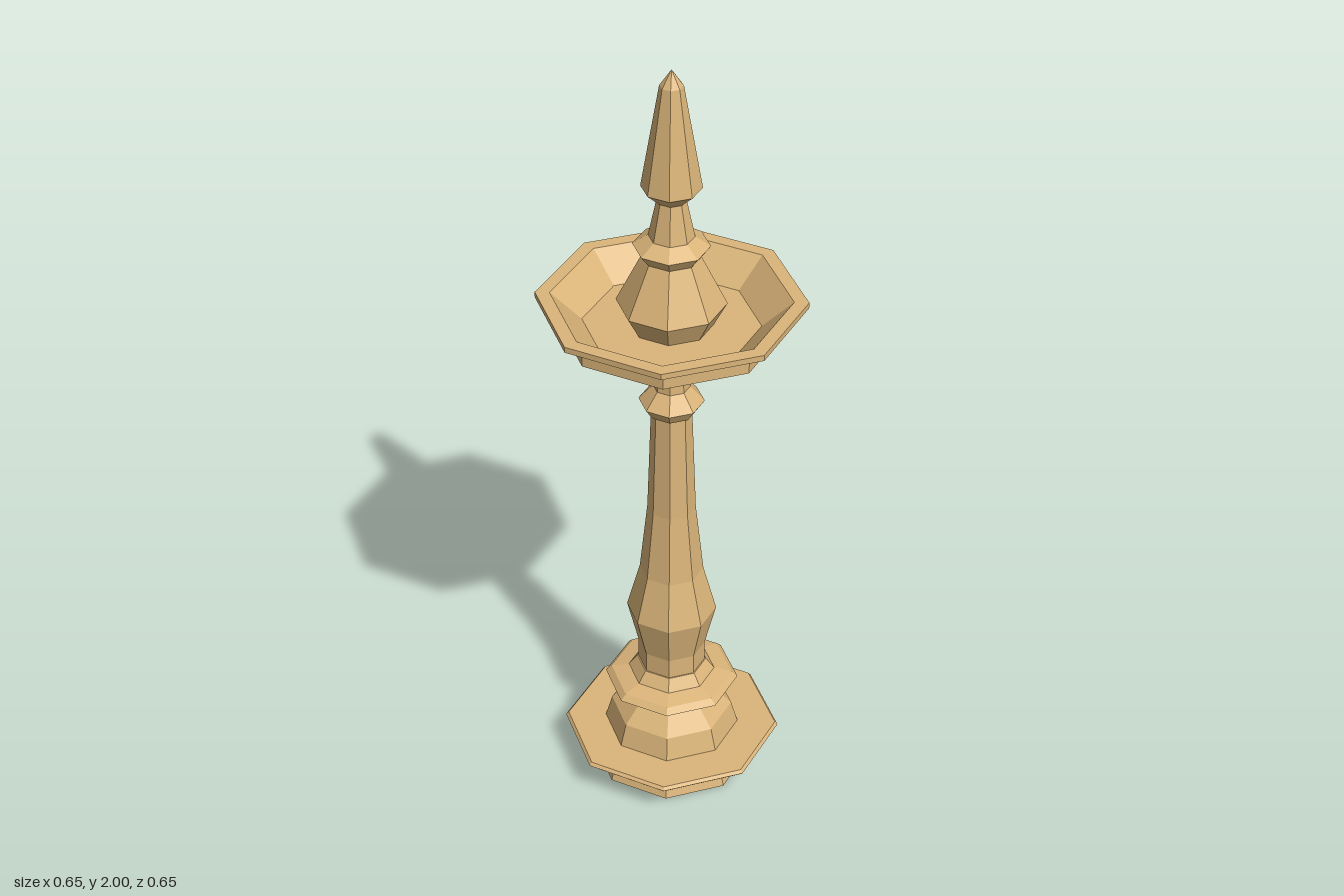
import * as THREE from 'three';

const SIDES = 8;

export function createModel() {
  const group = new THREE.Group();
  const brass = new THREE.MeshStandardMaterial({ color: 0xdbb57a, flatShading: true });

  // Turns a [radius, height] profile, listed from the bottom up, into a faceted part
  function turned(name, profile) {
    const points = profile.map(([r, y]) => new THREE.Vector2(r, y));
    const geometry = new THREE.LatheGeometry(points, SIDES).toNonIndexed();
    geometry.computeVertexNormals();
    const mesh = new THREE.Mesh(geometry, brass);
    mesh.name = name;
    group.add(mesh);
  }

  // Stepped foot with its wide flange
  turned('base', [
    [0, 0], [0.205, 0], [0.18, 0.085], [0.27, 0.085], [0.277, 0.092], [0.27, 0.1],
    [0.172, 0.1], [0.155, 0.16], [0.075, 0.24], [0.07, 0.26],
  ]);

  // Small flange between foot and column
  turned('lowerCollar', [
    [0, 0.25], [0.17, 0.25], [0.155, 0.265], [0.11, 0.275], [0.088, 0.305], [0, 0.305],
  ]);

  // Swelling column that narrows upward, with a ring near the top
  turned('column', [
    [0.085, 0.3], [0.085, 0.36], [0.113, 0.475], [0.08, 0.6], [0.06, 0.79],
    [0.05, 1.08], [0.06, 1.08], [0.08, 1.11], [0.045, 1.15], [0.038, 1.3],
  ]);

  // Hollow oil dish with a thin projecting rim
  turned('dish', [
    [0, 1.295], [0.25, 1.31], [0.273, 1.325], [0.273, 1.385], [0.323, 1.385],
    [0.323, 1.4], [0.288, 1.4], [0.213, 1.33], [0, 1.33],
  ]);

  // Finial rising from the dish floor
  turned('finial', [
    [0.1, 1.33], [0.132, 1.39], [0.07, 1.515], [0.092, 1.545], [0.055, 1.57],
    [0.035, 1.665], [0.072, 1.7], [0.028, 1.96], [0, 2],
  ]);

  return group;
}
